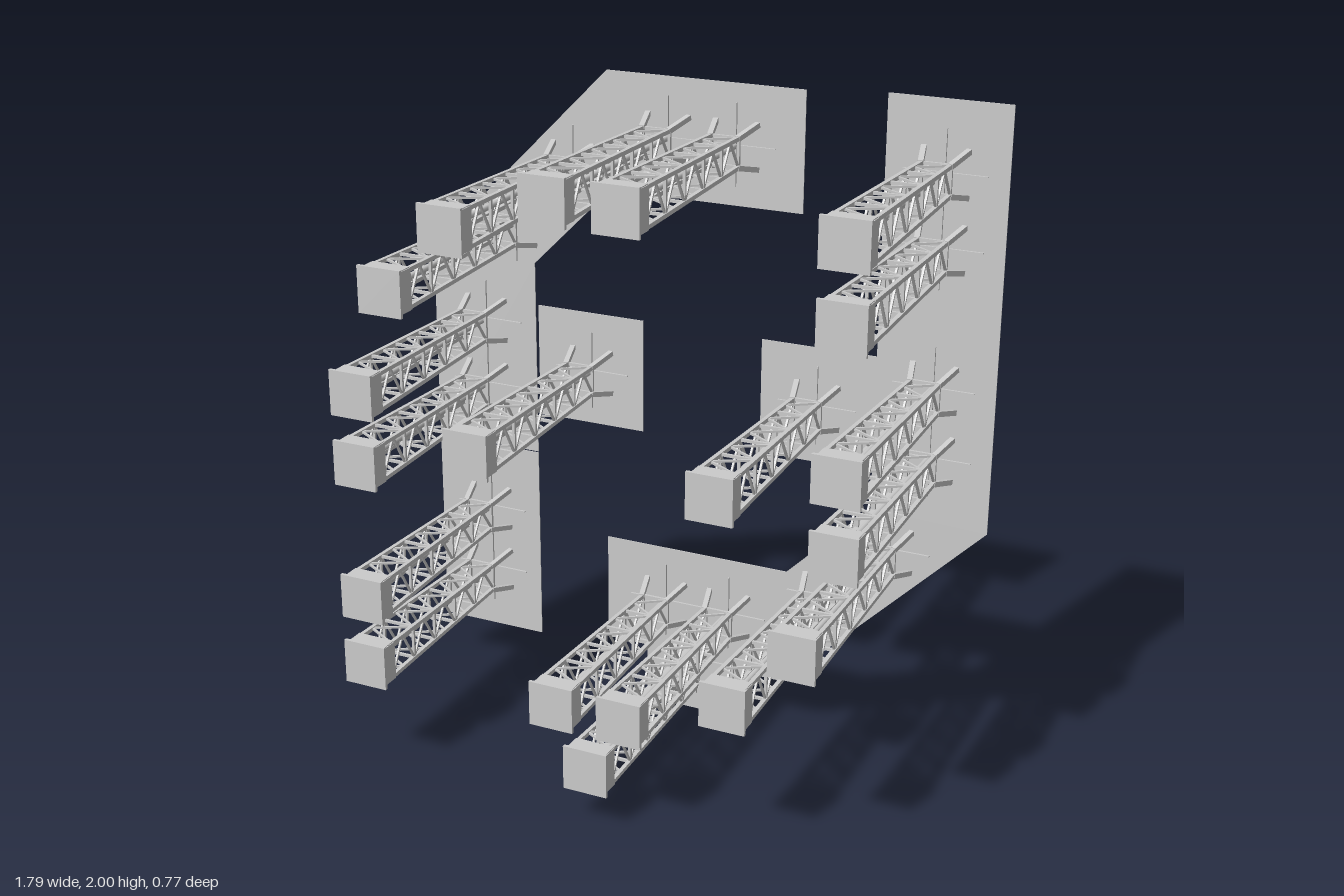
import * as THREE from 'three';
import { mergeGeometries } from 'three/addons/utils/BufferGeometryUtils.js';

const V = (x, y, z) => new THREE.Vector3(x, y, z);

// Square bar between two points
function bar(a, b, t) {
  const d = b.clone().sub(a);
  const g = new THREE.BoxGeometry(t, t, d.length());
  const q = new THREE.Quaternion().setFromUnitVectors(V(0, 0, 1), d.normalize());
  return g.applyQuaternion(q).translate((a.x + b.x) / 2, (a.y + b.y) / 2, (a.z + b.z) / 2);
}

function block(w, h, d, x, y, z) {
  return new THREE.BoxGeometry(w, h, d).translate(x, y, z);
}

const BACK = -0.38, NECK = -0.30, CAP = 0.32, FRONT = 0.383;
const BAYS = 10;
// Half width of the tapering lattice at depth z
const half = z => THREE.MathUtils.mapLinear(z, NECK, CAP, 0.041, 0.053);
const CORNERS = [[-1, -1], [1, -1], [1, 1], [-1, 1]];
const corner = (i, z, h = half(z)) => V(CORNERS[i % 4][0] * h, CORNERS[i % 4][1] * h, z);

// Lattice: four legs, rungs and zigzag diagonals, splayed feet
function latticeGeometry() {
  const parts = [];
  for (let i = 0; i < 4; i++) {
    parts.push(bar(corner(i, NECK), corner(i, 0.37), 0.012));
    parts.push(bar(corner(i, NECK + 0.01), corner(i, BACK, 0.064), 0.015));
    for (let k = 0; k <= BAYS; k++) {
      const z = THREE.MathUtils.lerp(NECK, CAP, k / BAYS);
      if (k % 2 === 0) parts.push(bar(corner(i, z), corner(i + 1, z), 0.008));
      if (k === BAYS) continue;
      const z2 = THREE.MathUtils.lerp(NECK, CAP, (k + 1) / BAYS);
      const flip = k % 2;
      parts.push(bar(corner(i + flip, z), corner(i + 1 - flip, z2), 0.006));
    }
  }
  return mergeGeometries(parts);
}

// Cap: front flange with an open-backed box of four panels
function capGeometry() {
  const w = 0.118, t = 0.005, d = 0.058, z = 0.345;
  const parts = [block(0.135, 0.135, 0.01, 0, 0, FRONT - 0.005)];
  for (const s of [-1, 1]) {
    parts.push(block(t, w, d, s * w / 2, 0, z), block(w, t, d, 0, s * w / 2, z));
  }
  return mergeGeometries(parts);
}

// Thin crossed fins standing on the wall behind each tower
function finGeometry() {
  return mergeGeometries([
    block(0.24, 0.003, 0.007, 0, 0, BACK + 0.003),
    block(0.003, 0.24, 0.007, 0, 0, BACK + 0.003),
  ]);
}

const TOWERS = [
  [-0.11, 1.81], [0.1, 1.81], [-0.415, 1.695], [-0.61, 1.5], [-0.72, 1.185],
  [-0.72, 0.975], [-0.72, 0.56], [-0.72, 0.35], [-0.36, 1.07], [0.365, 1.075],
  [0.71, 1.8], [0.71, 1.59], [0.71, 1.185], [0.71, 0.975], [0.605, 0.67],
  [0.41, 0.475], [-0.11, 0.355], [0.1, 0.355], [-0.005, 0.175],
];

const PANELS = {
  upperLeftPanel: [[-0.305, 1.985], [-0.9, 1.39], [-0.9, 0.772], [-0.55, 0.772],
    [-0.55, 1.38], [-0.295, 1.635], [0.305, 1.635], [0.305, 1.985]],
  lowerLeftPanel: [[-0.9, 0.145], [-0.55, 0.145], [-0.55, 0.768], [-0.9, 0.768]],
  squarePanel: [[-0.54, 0.9], [-0.19, 0.9], [-0.19, 1.25], [-0.54, 1.25]],
  rightPanel: [[0.54, 2], [0.54, 1.25], [0.19, 1.25], [0.19, 0.9], [0.54, 0.9],
    [0.54, 0.785], [0.285, 0.53], [-0.31, 0.53], [-0.31, 0.185], [-0.175, 0.185],
    [-0.175, 0], [0.17, 0], [0.17, 0.185], [0.305, 0.185], [0.89, 0.77], [0.89, 2]],
};

export function createModel() {
  const model = new THREE.Group();
  const material = new THREE.MeshStandardMaterial({ color: 0xcccccc });
  const add = (parent, name, geometry) => {
    const mesh = new THREE.Mesh(geometry, material);
    mesh.name = name;
    parent.add(mesh);
  };

  // Flat back panels
  for (const [name, outline] of Object.entries(PANELS)) {
    const shape = new THREE.Shape(outline.map(([x, y]) => new THREE.Vector2(x, y)));
    const g = new THREE.ExtrudeGeometry(shape, { depth: 0.003, bevelEnabled: false });
    add(model, name, g.translate(0, 0, BACK - 0.003));
  }

  // Identical lattice towers reaching forward from the panels
  const lattice = latticeGeometry();
  const cap = capGeometry();
  const fins = finGeometry();
  const pole = new THREE.CylinderGeometry(0.009, 0.009, 0.68, 10)
    .rotateX(Math.PI / 2).translate(0, 0, -0.025);
  for (const [x, y] of TOWERS) {
    const tower = new THREE.Group();
    tower.name = 'tower';
    add(tower, 'lattice', lattice);
    add(tower, 'centrePole', pole);
    add(tower, 'cap', cap);
    add(tower, 'baseFins', fins);
    tower.position.set(x, y, 0);
    model.add(tower);
  }
  return model;
}
